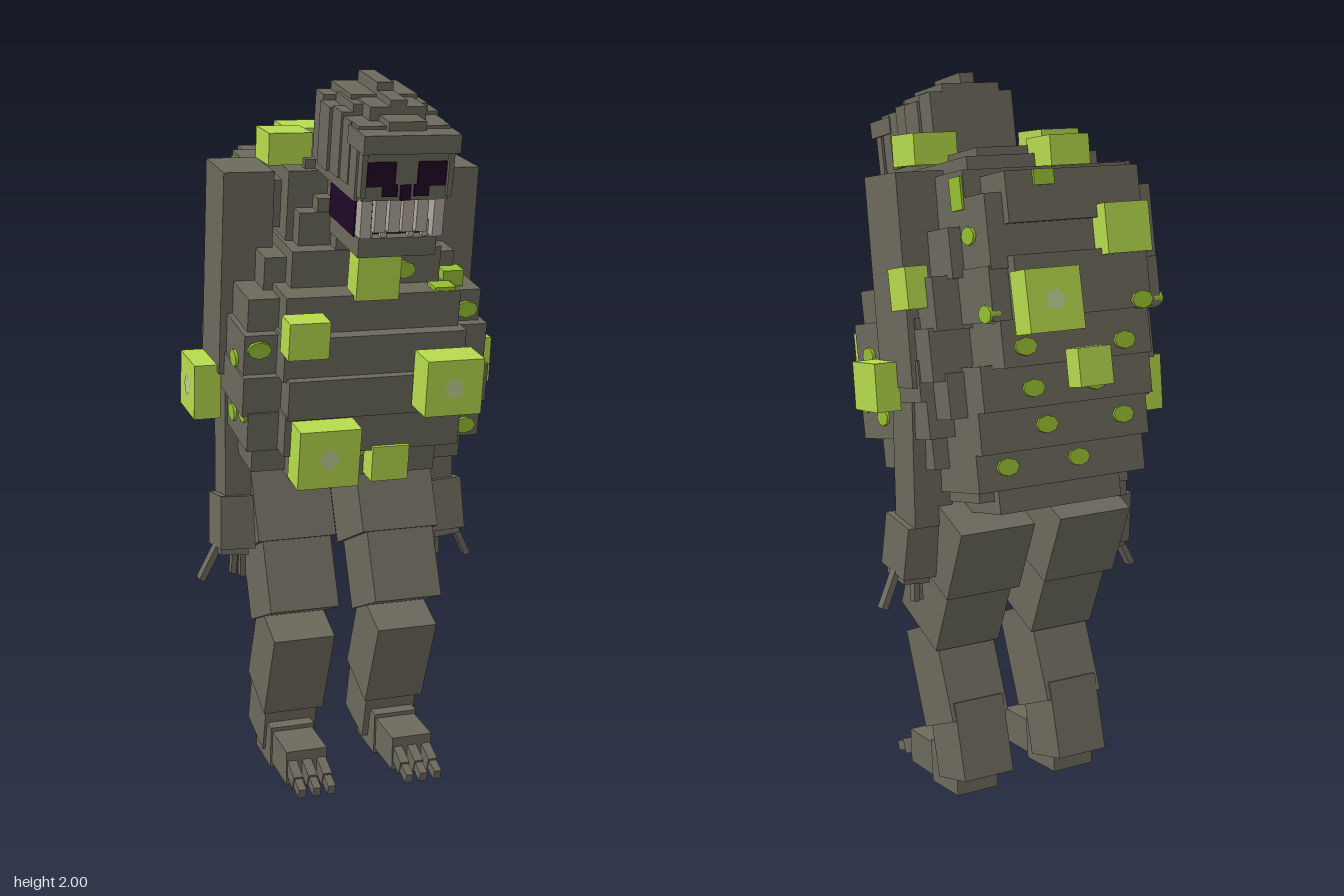
import * as THREE from 'three';

const mat = (name, color) => {
  const m = new THREE.MeshStandardMaterial({ color });
  m.name = name;
  return m;
};

export function createModel() {
  const stone = mat('stone', 0x6c695c);
  const spore = mat('sporeGreen', 0xb6db4c);
  const moss = mat('mossGreen', 0x96c031);
  const pale = mat('paleSpot', 0xbfd192);
  const dark = mat('darkPurple', 0x1f0727);
  const bone = mat('bone', 0xaea89c);
  const model = new THREE.Group();
  model.name = 'hunchedCreature';

  const group = (name, y, z, rx) => {
    const g = new THREE.Group();
    g.name = name;
    g.position.set(0, y, z);
    g.rotation.x = rx;
    model.add(g);
    return g;
  };
  const box = (parent, name, m, size, pos, rx = 0, rz = 0) => {
    const b = new THREE.Mesh(new THREE.BoxGeometry(...size), m);
    b.name = name;
    b.position.set(...pos);
    b.rotation.set(rx, 0, rz);
    parent.add(b);
    return b;
  };
  // Block symmetric in x: half width, y range, z range
  const slab = (parent, name, m, hw, y0, y1, z0, z1) =>
    box(parent, name, m, [hw * 2, y1 - y0, z1 - z0], [0, (y0 + y1) / 2, (z0 + z1) / 2]);

  // Torso, leaning forward as a stack of slabs
  const torso = group('torso', 1.3, -0.08, 0.2);
  [
    ['upperChest', 0.2, 0.2, 0.47, -0.2, 0.12],
    ['shoulderPlate', 0.25, 0.3, 0.43, -0.26, 0.06],
    ['topPlate', 0.15, 0.4, 0.495, -0.17, 0.1],
    ['collar', 0.18, 0.26, 0.37, -0.1, 0.17],
    ['humpTop', 0.2, 0.28, 0.41, -0.385, -0.1],
    ['humpUpper', 0.25, 0.17, 0.36, -0.36, -0.1],
    ['humpCentre', 0.2, 0.04, 0.2, -0.39, -0.1],
    ['humpMiddle', 0.255, 0.04, 0.18, -0.355, -0.1],
    ['humpLower', 0.225, -0.08, 0.05, -0.335, -0.1],
    ['humpUpperFlank', 0.285, 0.16, 0.29, -0.22, 0],
    ['humpMiddleFlank', 0.33, 0.03, 0.17, -0.19, 0],
    ['humpLowerFlank', 0.345, -0.1, 0.04, -0.17, 0],
    ['loinUpper', 0.26, -0.19, -0.07, -0.27, 0.1],
    ['loinUpperFlank', 0.31, -0.2, -0.08, -0.18, 0.1],
    ['loinMiddle', 0.26, -0.3, -0.18, -0.235, 0.1],
    ['loinLower', 0.26, -0.4, -0.29, -0.2, 0.07],
    ['pelvis', 0.19, -0.465, -0.36, -0.175, 0.1],
    ['pelvisFlank', 0.235, -0.43, -0.35, -0.15, 0.05],
    ['chestRib', 0.21, 0.17, 0.28, -0.1, 0.22],
    ['chestRibFlank', 0.27, 0.15, 0.25, -0.1, 0.17],
    ['upperRib', 0.245, 0.07, 0.18, -0.1, 0.3],
    ['upperRibFlank', 0.33, 0.06, 0.16, -0.1, 0.24],
    ['middleRib', 0.255, -0.04, 0.08, -0.1, 0.34],
    ['middleRibFlank', 0.345, -0.05, 0.07, -0.1, 0.27],
    ['bellyUpper', 0.245, -0.14, -0.03, -0.1, 0.365],
    ['bellyUpperFlank', 0.35, -0.15, -0.04, -0.1, 0.295],
    ['bellyMiddle', 0.25, -0.245, -0.13, -0.1, 0.36],
    ['bellyMiddleFlank', 0.335, -0.25, -0.14, -0.1, 0.3],
    ['bellyLower', 0.21, -0.345, -0.235, -0.05, 0.3],
    ['bellyLowerFlank', 0.305, -0.335, -0.24, -0.05, 0.25],
  ].forEach(([name, ...r]) => slab(torso, name, stone, ...r));

  // Moss patches: low oval pads half sunk into the slabs
  const patch = (x, y, z, axis) => {
    const d = new THREE.Mesh(new THREE.CylinderGeometry(0.033, 0.033, 0.03, 8), moss);
    d.name = 'mossPatch';
    d.position.set(x, y, z);
    if (axis === 'z') {
      d.rotation.x = Math.PI / 2;
      d.scale.z = 0.72;
    } else {
      d.rotation.z = Math.PI / 2;
      d.scale.x = 0.72;
    }
    torso.add(d);
  };
  [
    [0.105, 0.22, 0.215], [0.29, 0.105, 0.235], [-0.305, 0.03, 0.265],
    [0.265, -0.08, 0.29], [-0.03, -0.265, 0.295], [0.29, -0.215, 0.295],
    [0.1, 0.06, -0.383], [-0.17, 0.06, -0.383], [-0.14, -0.04, -0.328], [0.16, -0.03, -0.328],
    [-0.08, -0.14, -0.263], [0.11, -0.14, -0.263], [-0.18, -0.24, -0.228], [0.06, -0.24, -0.228],
    [-0.05, -0.34, -0.193], [0.17, -0.34, -0.193],
  ].forEach(p => patch(...p, 'z'));
  for (const s of [-1, 1]) {
    [[0.338, -0.02, 0.19], [0.328, -0.154, 0.26], [0.328, -0.19, 0.16],
      [0.243, 0.262, -0.268], [0.248, 0.06, -0.325]].forEach(([x, y, z]) => patch(s * x, y, z, 'x'));
    box(torso, 'mossPlate', moss, [0.012, 0.085, 0.06], [s * 0.25, 0.373, -0.224]);
  }
  // Moss tufts on the ledges of the back, chest and shoulder
  [
    [[0.06, 0.04, 0.04], [0.09, 0.39, -0.372]],
    [[0.065, 0.04, 0.02], [0.13, 0.45, -0.175]],
    [[0.06, 0.045, 0.055], [0.255, 0.185, 0.188]],
    [[0.06, 0.02, 0.055], [0.2, 0.18, 0.27]],
  ].forEach(([size, pos]) => box(torso, 'mossTuft', moss, size, pos));

  // Neck with stepped side plates
  const neck = group('neck', 1.66, 0.09, 0.2);
  slab(neck, 'neckCore', stone, 0.09, -0.12, 0.1, -0.08, 0.12);
  slab(neck, 'neckCollar', stone, 0.13, -0.14, 0.02, -0.12, 0.07);
  slab(neck, 'neckBase', stone, 0.17, -0.15, -0.04, -0.12, 0.04);

  // Head with stepped bands over the crown
  const head = group('head', 1.77, 0.28, 0.2);
  [
    ['skull', 0.122, -0.06, 0.13, -0.16, 0.16],
    ['crownBand', 0.13, -0.03, 0.15, -0.165, -0.1],
    ['crownBand', 0.138, -0.03, 0.135, -0.1, -0.02],
    ['crownBand', 0.13, -0.03, 0.14, -0.02, 0.05],
    ['crownBand', 0.125, -0.03, 0.13, 0.05, 0.11],
    ['crownTop', 0.09, 0.12, 0.172, -0.165, 0.0],
    ['crownTop', 0.1, 0.12, 0.16, -0.09, 0.05],
    ['crownTop', 0.075, 0.12, 0.165, 0.0, 0.105],
    ['crest', 0.022, 0.16, 0.203, -0.15, 0.0],
    ['crest', 0.022, 0.15, 0.182, 0.0, 0.105],
    ['brow', 0.128, 0.075, 0.122, 0.1, 0.225],
    ['browRidge', 0.05, 0.11, 0.145, 0.08, 0.18],
    ['face', 0.115, -0.05, 0.09, 0.1, 0.195],
    ['jaw', 0.105, -0.205, -0.155, -0.06, 0.17],
  ].forEach(([name, ...r]) => slab(head, name, stone, ...r));
  slab(head, 'mouthInside', dark, 0.108, -0.16, -0.055, -0.065, 0.135);
  slab(head, 'nose', dark, 0.014, -0.05, -0.01, 0.194, 0.199);
  for (const s of [-1, 1]) {
    box(head, 'eye', dark, [0.075, 0.062, 0.008], [s * 0.067, 0.018, 0.196]);
    box(head, 'eyeCorner', dark, [0.04, 0.03, 0.008], [s * 0.042, -0.024, 0.196]);
    box(head, 'cheekbone', stone, [0.014, 0.12, 0.03], [s * 0.115, 0.02, 0.19]);
    box(head, 'fang', bone, [0.028, 0.1, 0.04], [s * 0.097, -0.098, 0.172]);
    for (const x of [0.018, 0.056]) {
      box(head, 'upperTooth', bone, [0.03, 0.09, 0.022], [s * x, -0.092, 0.172]);
      box(head, 'lowerTooth', bone, [0.016, 0.045, 0.015], [s * (x + 0.019), -0.135, 0.155]);
    }
  }

  // Arms and legs, mirrored
  for (const s of [-1, 1]) {
    const limb = (name, w, h, d, x, y, z, rx, rz = 0) =>
      box(model, name, stone, [w, h, d], [s * x, y, z], rx, s * rz);
    limb('upperArm', 0.14, 0.56, 0.185, 0.294, 1.47, -0.053, 0.15);
    limb('forearm', 0.115, 0.48, 0.115, 0.285, 1.05, -0.085, 0.03);
    limb('wrist', 0.1, 0.15, 0.135, 0.315, 0.745, -0.07, -0.12, 0.05);
    limb('hand', 0.08, 0.07, 0.1, 0.32, 0.685, -0.07, -0.1, 0.1);
    limb('outerFinger', 0.018, 0.12, 0.03, 0.382, 0.63, -0.07, 0.12, 0.45);
    limb('middleFinger', 0.016, 0.08, 0.025, 0.31, 0.625, -0.08, 0.1, 0.05);
    limb('innerFinger', 0.016, 0.08, 0.025, 0.29, 0.62, -0.06, 0.12, 0);

    limb('upperThigh', 0.228, 0.22, 0.252, 0.155, 0.76, -0.115, -0.385);
    limb('lowerThigh', 0.2, 0.22, 0.225, 0.155, 0.575, -0.035, -0.385);
    limb('upperShin', 0.178, 0.28, 0.18, 0.155, 0.335, -0.035, 0.42);
    limb('lowerShin', 0.155, 0.22, 0.16, 0.155, 0.165, -0.115, 0.28);
    limb('heel', 0.13, 0.125, 0.15, 0.16, 0.07, -0.085, 0.09);
    limb('foot', 0.12, 0.1, 0.15, 0.16, 0.06, 0.055, 0.06);
    for (const dx of [-0.043, 0, 0.043]) {
      limb('toe', 0.027, 0.045, 0.07, 0.16 + dx, 0.045, 0.15, 0.4);
      limb('toeTip', 0.022, 0.03, 0.06, 0.16 + dx, 0.027, 0.198, 0.35);
    }
  }

  // Spore blocks: size, position, tilt
  [
    [[0.12, 0.12, 0.075], [0, 1.47, 0.24], 0.22],
    [[0.12, 0.08, 0.12], [-0.065, 1.805, -0.205], 0.15],
    [[0.12, 0.085, 0.125], [-0.185, 1.8, 0.035], 0.12],
    [[0.13, 0.085, 0.13], [0.185, 1.8, 0.075], 0.12],
    [[0.11, 0.1, 0.075], [-0.215, 1.325, 0.315], 0.2],
    [[0.16, 0.155, 0.1], [0.178, 1.185, 0.328], 0.16],
    [[0.17, 0.165, 0.09], [-0.147, 1.0, 0.262], 0.2],
    [[0.105, 0.1, 0.07], [0.052, 0.955, 0.195], 0.16],
    [[0.075, 0.155, 0.16], [-0.39, 1.135, -0.11], 0.12],
    [[0.07, 0.13, 0.135], [0.393, 1.19, -0.033], 0.12],
    [[0.065, 0.11, 0.1], [0.352, 1.465, -0.15], 0.2],
    [[0.16, 0.16, 0.075], [0.125, 1.46, -0.465], 0.22],
    [[0.135, 0.13, 0.07], [-0.13, 1.62, -0.41], 0.2],
    [[0.1, 0.1, 0.06], [0, 1.28, -0.47], 0.2],
  ].forEach(([size, pos, rx]) => box(model, 'sporeBlock', spore, size, pos, rx));

  // Pale round spots on the largest spore blocks
  const spot = (x, y, z, rx, ry = 0) => {
    const d = new THREE.Mesh(new THREE.CircleGeometry(0.028, 8), pale);
    d.name = 'paleSpot';
    d.position.set(x, y, z);
    d.rotation.set(rx, ry, 0);
    model.add(d);
  };
  spot(0.178, 1.177, 0.379, 0.16);
  spot(-0.147, 0.991, 0.308, 0.2);
  spot(0.125, 1.468, -0.504, 0.22, Math.PI);
  spot(-0.429, 1.135, -0.11, 0, -Math.PI / 2);

  return model;
}
